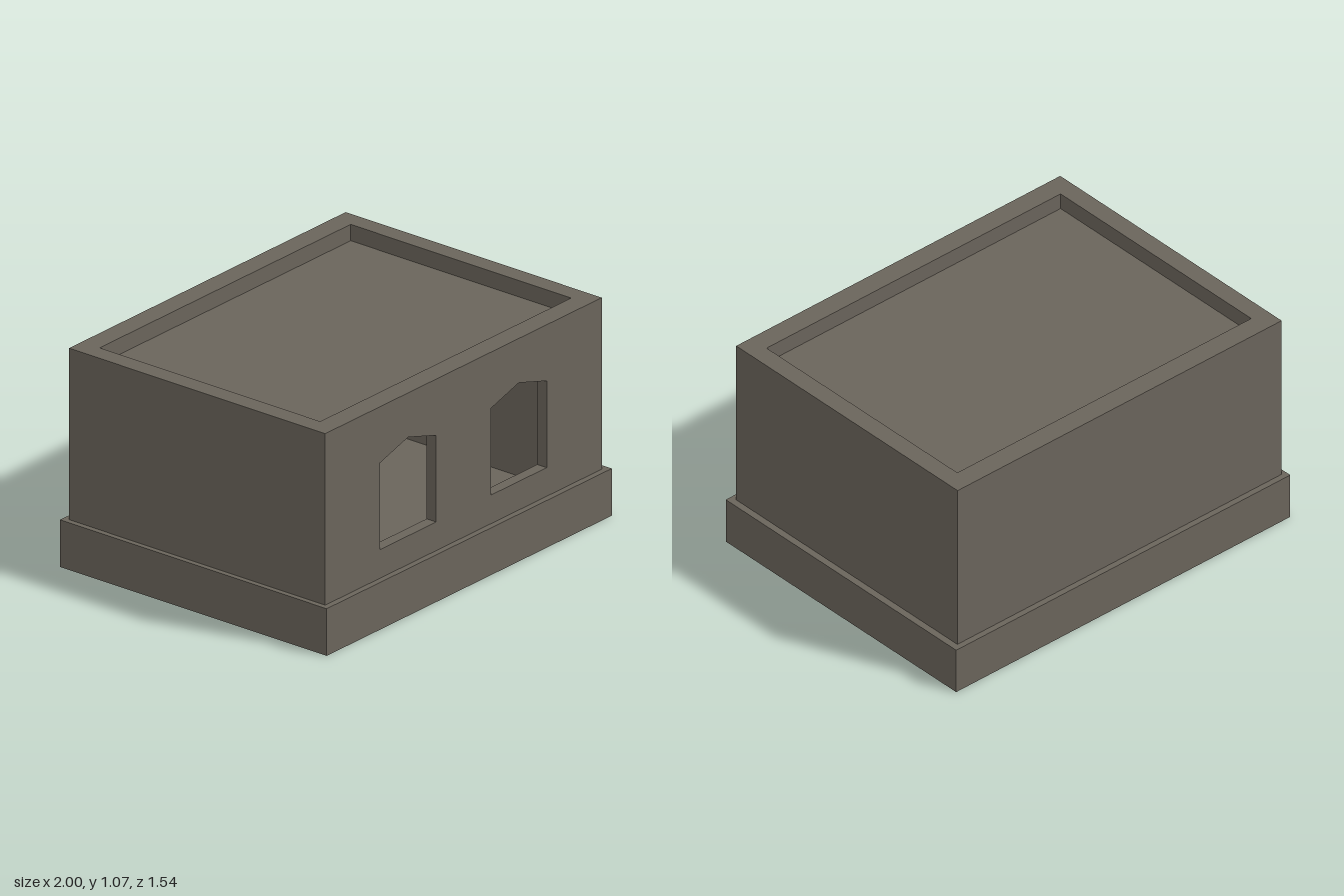
import * as THREE from 'three';

const stone = new THREE.MeshStandardMaterial({ color: 0x6a645b });
stone.name = 'stone';

const BASE_TOP = 0.23, TOP = 1.07, ROOF = 0.99, CEILING = 0.94, FLOOR = 0.09;
const HX = 0.97, HZ = 0.74;      // half size of the body
const WALL = 0.055;              // wall thickness

// The body leans very slightly as it rises
function lean(geometry) {
  const p = geometry.attributes.position;
  for (let i = 0; i < p.count; i++) {
    const t = (p.getY(i) - BASE_TOP) / (TOP - BASE_TOP);
    p.setX(i, p.getX(i) - 0.004 - 0.006 * t);
    p.setZ(i, p.getZ(i) + 0.005 * t);
  }
  geometry.computeVertexNormals();
  return geometry;
}

function part(name, geometry) {
  const mesh = new THREE.Mesh(geometry, stone);
  mesh.name = name;
  return mesh;
}

// Box given by its lower and upper corners
function block(x0, x1, y0, y1, z0, z1) {
  return new THREE.BoxGeometry(x1 - x0, y1 - y0, z1 - z0)
    .translate((x0 + x1) / 2, (y0 + y1) / 2, (z0 + z1) / 2);
}

function rectangle(Type, hx, hz) {
  return new Type([[-hx, -hz], [hx, -hz], [hx, hz], [-hx, hz]].map(([x, z]) => new THREE.Vector2(x, z)));
}

// Rectangular ring lying flat between two heights
function ring(hx, hz, innerX, innerZ, y0, y1) {
  const shape = rectangle(THREE.Shape, hx, hz);
  shape.holes.push(rectangle(THREE.Path, innerX, innerZ));
  return new THREE.ExtrudeGeometry(shape, { depth: y1 - y0, bevelEnabled: false })
    .rotateX(-Math.PI / 2).translate(0, y0, 0);
}

// Front wall with two pointed window openings
function frontWallGeometry() {
  const shape = new THREE.Shape([[-HX, BASE_TOP], [HX, BASE_TOP], [HX, CEILING], [-HX, CEILING]]
    .map(([x, y]) => new THREE.Vector2(x, y)));
  for (const cx of [-0.388, 0.388]) {
    shape.holes.push(new THREE.Path(
      [[-0.196, 0.37], [-0.196, 0.795], [0, 0.853], [0.196, 0.795], [0.196, 0.37]]
        .map(([x, y]) => new THREE.Vector2(cx + x, y))));
  }
  return new THREE.ExtrudeGeometry(shape, { depth: WALL, bevelEnabled: false })
    .translate(0, 0, HZ - WALL);
}

export function createModel() {
  const model = new THREE.Group();
  model.name = 'building';
  const ix = HX - WALL, iz = HZ - WALL;

  // Plinth and interior floor
  model.add(part('plinth', ring(1, 0.77, ix, iz, 0, BASE_TOP)));
  model.add(part('floor', block(-ix, ix, 0, FLOOR, -iz, iz)));

  // Walls
  model.add(part('frontWall', lean(frontWallGeometry())));
  model.add(part('backWall', lean(block(-HX, HX, BASE_TOP, CEILING, -HZ, -iz))));
  model.add(part('leftWall', lean(block(ix, HX, BASE_TOP, CEILING, -iz, iz))));
  model.add(part('rightWall', lean(block(-HX, -ix, BASE_TOP, CEILING, -iz, iz))));

  // Parapet around the sunken flat roof
  model.add(part('parapet', lean(ring(HX, HZ, 0.88, 0.637, CEILING, TOP))));
  model.add(part('roof', lean(block(-0.88, 0.88, CEILING, ROOF, -0.637, 0.637))));

  return model;
}
